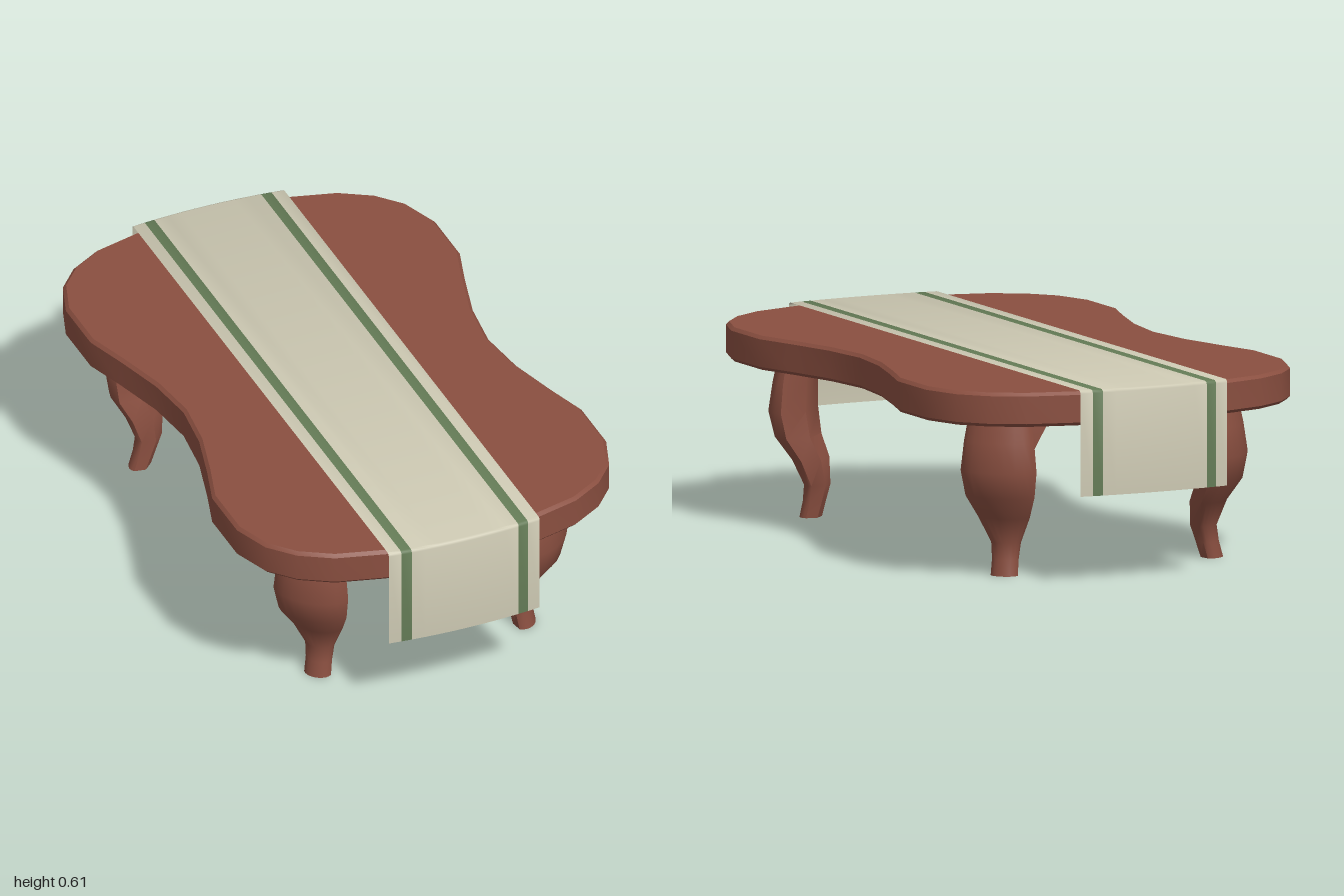
import * as THREE from 'three';
import { toCreasedNormals } from 'three/addons/utils/BufferGeometryUtils.js';

const mat = (name, color, side = THREE.FrontSide) => {
  const m = new THREE.MeshStandardMaterial({ color, side });
  m.name = name;
  return m;
};

function mesh(name, geometry, material) {
  const m = new THREE.Mesh(geometry, material);
  m.name = name;
  return m;
}

function indexed(positions, indices) {
  const g = new THREE.BufferGeometry();
  g.setAttribute('position', new THREE.Float32BufferAttribute(positions, 3));
  g.setIndex(indices);
  return g;
}

// Waisted table top with a small chamfer: one quarter outline, mirrored twice
function tableTop() {
  const quarter = [[0, 0.985], [0.13, 0.975], [0.25, 0.955], [0.4, 0.915], [0.5, 0.855], [0.57, 0.775],
    [0.612, 0.655], [0.612, 0.465], [0.57, 0.33], [0.525, 0.165], [0.505, 0]];
  const half = [...quarter, ...quarter.slice(0, -1).reverse().map(([x, z]) => [x, -z])];
  const outline = [...half, ...half.slice(1, -1).reverse().map(([x, z]) => [-x, z])];
  const g = new THREE.ExtrudeGeometry(new THREE.Shape(outline.map(p => new THREE.Vector2(...p))), {
    depth: 0.085, bevelThickness: 0.01, bevelSize: 0.01, bevelOffset: -0.01, bevelSegments: 1,
  });
  g.rotateX(-Math.PI / 2).translate(0, 0.505, 0);
  return toCreasedNormals(g, 0.6);
}

// Curved leg: rounded outside, three flat faces inside, set on the diagonal.
// Rows: height, diagonal position, half width, outer depth, inner depth
const LEG = [
  [0, 0.343, 0.043, 0.032, 0.03],
  [0.05, 0.335, 0.042, 0.033, 0.032],
  [0.1, 0.33, 0.047, 0.036, 0.038],
  [0.18, 0.345, 0.082, 0.05, 0.05],
  [0.25, 0.372, 0.11, 0.064, 0.058],
  [0.33, 0.382, 0.121, 0.07, 0.06],
  [0.42, 0.379, 0.112, 0.06, 0.056],
  [0.51, 0.372, 0.098, 0.05, 0.05],
];

function leg(sx, sz, lean) {
  const pos = [], idx = [], arc = 10, n = arc + 3, k = Math.SQRT1_2;
  for (const [y, s, a, out, inn] of LEG) {
    const shift = lean * Math.max(0, 1 - y / 0.33);
    const ring = [];
    for (let i = 0; i <= arc; i++) {
      const t = Math.PI * i / arc;
      ring.push([a * Math.cos(t), out * Math.sin(t)]);
    }
    ring.push([-a * 0.5, -inn], [a * 0.5, -inn]);
    for (const [t, r] of ring) {
      pos.push(sx * (s + (r + t + shift) * k), y, sz * (s + 0.31 + (r - t - shift) * k));
    }
  }
  const tri = (a, b, c) => (sx * sz > 0 ? idx.push(a, b, c) : idx.push(a, c, b));
  for (let j = 0; j < LEG.length - 1; j++) {
    for (let i = 0; i < n; i++) {
      const a = j * n + i, b = j * n + (i + 1) % n;
      tri(a, a + n, b);
      tri(b, a + n, b + n);
    }
  }
  for (let i = 1; i < n - 1; i++) tri(0, i, i + 1); // sole
  return toCreasedNormals(indexed(pos, idx), 0.8);
}

// Lengthwise strip of the cloth, lying on the top and hanging at both ends
function clothStrip(x0, x1, columns) {
  const pos = [], idx = [], rows = 8;
  for (let i = 0; i <= columns; i++) {
    const x = x0 + (x1 - x0) * i / columns;
    const e = 0.997 - 0.015 * (x / 0.25) ** 2;
    const path = [[0.28, e], [0.597, e], [0.604, e - 0.003], [0.607, e - 0.01]];
    for (const [y, z] of path) pos.push(x, y, z);
    for (const [y, z] of path.reverse()) pos.push(x, y, -z);
  }
  for (let i = 0; i < columns; i++) {
    for (let j = 0; j < rows - 1; j++) {
      const a = i * rows + j, b = a + rows;
      idx.push(a, b, a + 1, b, b + 1, a + 1);
    }
  }
  return toCreasedNormals(indexed(pos, idx), 0.9);
}

export function createModel() {
  const wood = mat('reddish wood', 0x8a4f40);
  const linen = mat('cream linen', 0xcbc7b1, THREE.DoubleSide);
  const green = mat('green stripe', 0x637a55, THREE.DoubleSide);

  const model = new THREE.Group();
  model.name = 'coffeeTable';
  model.add(mesh('tableTop', tableTop(), wood));

  // Four legs; the back right foot leans a little sideways
  for (const [sx, xName] of [[1, 'Left'], [-1, 'Right']]) {
    for (const [sz, zName] of [[1, 'front'], [-1, 'back']]) {
      const lean = sx < 0 && sz < 0 ? 0.065 : 0;
      model.add(mesh(zName + xName + 'Leg', leg(sx, sz, lean), wood));
    }
  }

  // Table runner with two stripes
  const runner = new THREE.Group();
  runner.name = 'tableRunner';
  runner.add(mesh('runnerCentre', clothStrip(-0.177, 0.177, 8), linen));
  for (const s of [-1, 1]) {
    const strip = (a, b) => clothStrip(Math.min(s * a, s * b), Math.max(s * a, s * b), 1);
    runner.add(mesh('runnerStripe', strip(0.177, 0.21), green));
    runner.add(mesh('runnerBorder', strip(0.21, 0.25), linen));
  }
  model.add(runner);
  return model;
}
